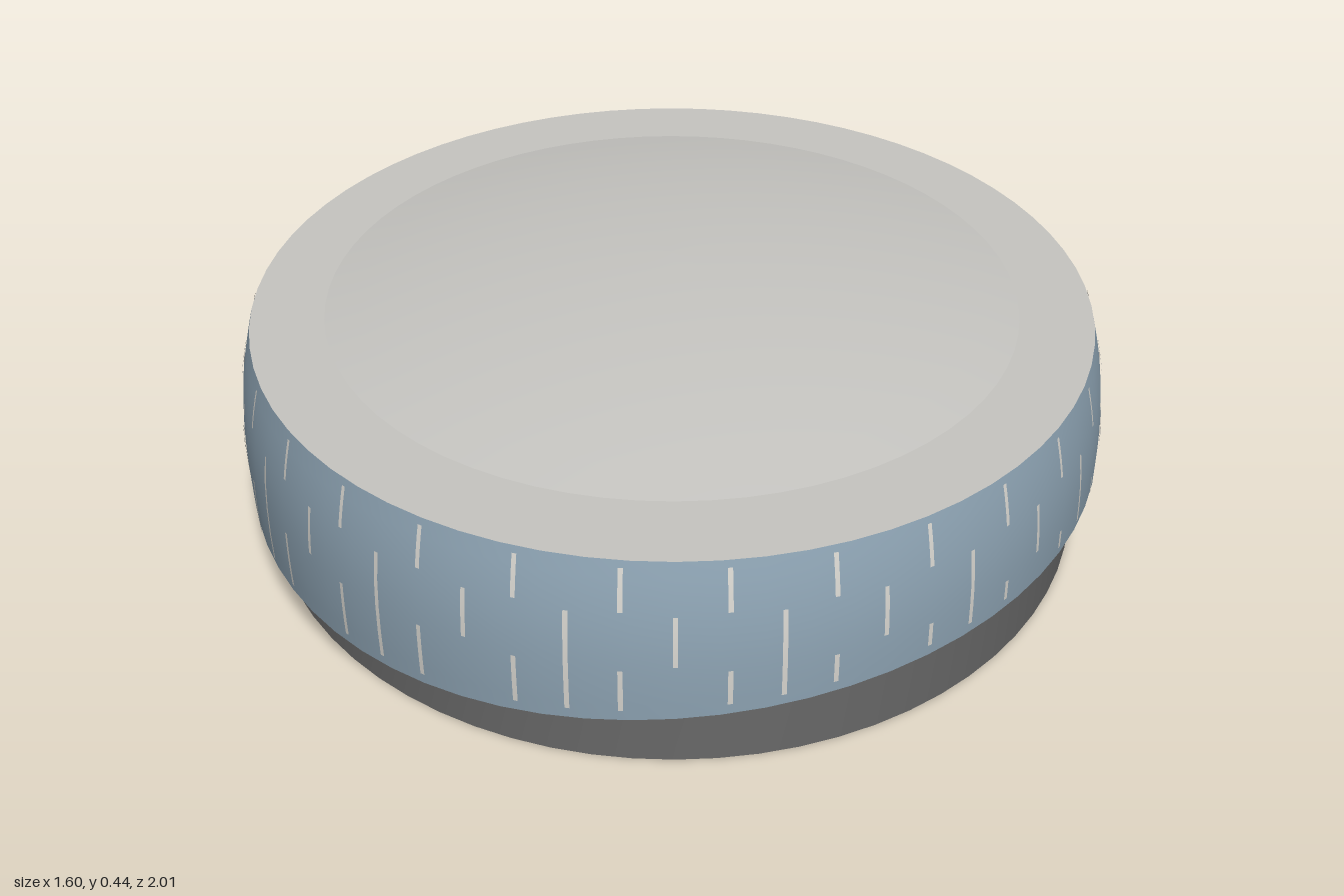
import * as THREE from 'three';

const RX = 0.795, RZ = 1, TOP = 0.37, INSET = 0.04, SEG = 72;

// Point on an oval that is inset by d from the widest outline
const oval = (a, y, d) => [(RX - d) * Math.cos(a), y, (RZ - d) * Math.sin(a)];

// Wavy lower edge of the band: gentle S at the front, a sharper drop at the back
function lowerEdge(a) {
  const x = Math.cos(a) * RX;
  if (Math.sin(a) >= 0) return 0.1025 + 0.0375 * Math.sin((Math.PI / 2) * (x / RX));
  return 0.065 + 0.075 * THREE.MathUtils.clamp((x + 0.3) / 0.73, 0, 1);
}

// Bulging side profile of the band
const bulge = (y) => y > 0.2 ? 0.022 * ((y - 0.2) / 0.17) ** 2 : 0.008 * ((0.2 - y) / 0.14) ** 2;

// Closed sheet swept around the oval; point(a, t) gives a corner, t runs 0..1
function sheet(rows, point) {
  const pos = [], idx = [];
  for (let j = 0; j <= rows; j++)
    for (let i = 0; i < SEG; i++) pos.push(...point((i / SEG) * Math.PI * 2, j / rows));
  for (let j = 0; j < rows; j++)
    for (let i = 0; i < SEG; i++) {
      const n = (i + 1) % SEG, a = j * SEG + i, b = j * SEG + n;
      idx.push(a, a + SEG, b, b, a + SEG, b + SEG);
    }
  const g = new THREE.BufferGeometry();
  g.setAttribute('position', new THREE.Float32BufferAttribute(pos, 3));
  g.setIndex(idx);
  g.computeVertexNormals();
  return g;
}

// Thin upright strips that follow the bulge of the band
function dashes(list) {
  const pos = [], idx = [], rows = 4, half = 0.004;
  for (const [a, y0, y1] of list) {
    const start = pos.length / 3;
    const da = half / Math.hypot(RX * Math.sin(a), RZ * Math.cos(a));
    for (let j = 0; j <= rows; j++) {
      const y = y0 + ((y1 - y0) * j) / rows;
      for (const s of [-1, 1]) pos.push(...oval(a + s * da, y, bulge(y) - 0.003));
    }
    for (let j = 0; j < rows; j++) {
      const k = start + j * 2;
      idx.push(k, k + 2, k + 1, k + 1, k + 2, k + 3);
    }
  }
  const g = new THREE.BufferGeometry();
  g.setAttribute('position', new THREE.Float32BufferAttribute(pos, 3));
  g.setIndex(idx);
  g.computeVertexNormals();
  return g;
}

export function createModel() {
  const group = new THREE.Group();
  const material = (name, color) => {
    const m = new THREE.MeshStandardMaterial({ color, side: THREE.DoubleSide });
    m.name = name;
    return m;
  };
  const blue = material('slate blue', 0x8fa5b5);
  const dark = material('dark grey', 0x686868);
  const pale = material('pale grey', 0xc6c5c1);
  const light = material('off white', 0xd8d6d0);
  const add = (name, geometry, mat) => {
    const mesh = new THREE.Mesh(geometry, mat);
    mesh.name = name;
    group.add(mesh);
  };

  // Open base wall, reaching up to the band
  add('baseWall', sheet(1, (a, t) => oval(a, t * lowerEdge(a), INSET)), dark);

  // Band: outer face, underside and inner face
  add('bandOuter', sheet(10, (a, t) => {
    const y = THREE.MathUtils.lerp(lowerEdge(a), TOP, t);
    return oval(a, y, bulge(y));
  }), blue);
  add('bandUnderside', sheet(1, (a, t) => {
    const y = lowerEdge(a);
    return oval(a, y, THREE.MathUtils.lerp(INSET, bulge(y), t));
  }), blue);
  add('bandInner', sheet(1, (a, t) =>
    oval(a, THREE.MathUtils.lerp(TOP, lowerEdge(a), t), INSET)), blue);

  // Flat rim of the top and the shallow dome inside it
  const domeX = 0.64, domeZ = 0.8;
  add('topRim', sheet(1, (a, t) => [
    THREE.MathUtils.lerp(RX - 0.022, domeX, t) * Math.cos(a), TOP,
    THREE.MathUtils.lerp(RZ - 0.022, domeZ, t) * Math.sin(a)]), pale);
  add('dome', sheet(10, (a, t) => {
    const r = 1 - t;
    return [domeX * r * Math.cos(a), TOP + 0.072 * (1 - r * r), domeZ * r * Math.sin(a)];
  }), pale);

  // Staggered columns of dashes: single ones alternate with pairs
  const marks = [], columns = 60;
  for (let i = 0; i < columns; i++) {
    const a = Math.PI / 2 - (i / columns) * Math.PI * 2;
    const low = lowerEdge(a) + 0.02;
    if (i % 2) marks.push([a, 0.29, 0.36], [a, low, 0.19]);
    else marks.push([a, i % 4 ? low : 0.2, 0.285]);
  }
  add('bandDashes', dashes(marks), light);
  return group;
}
